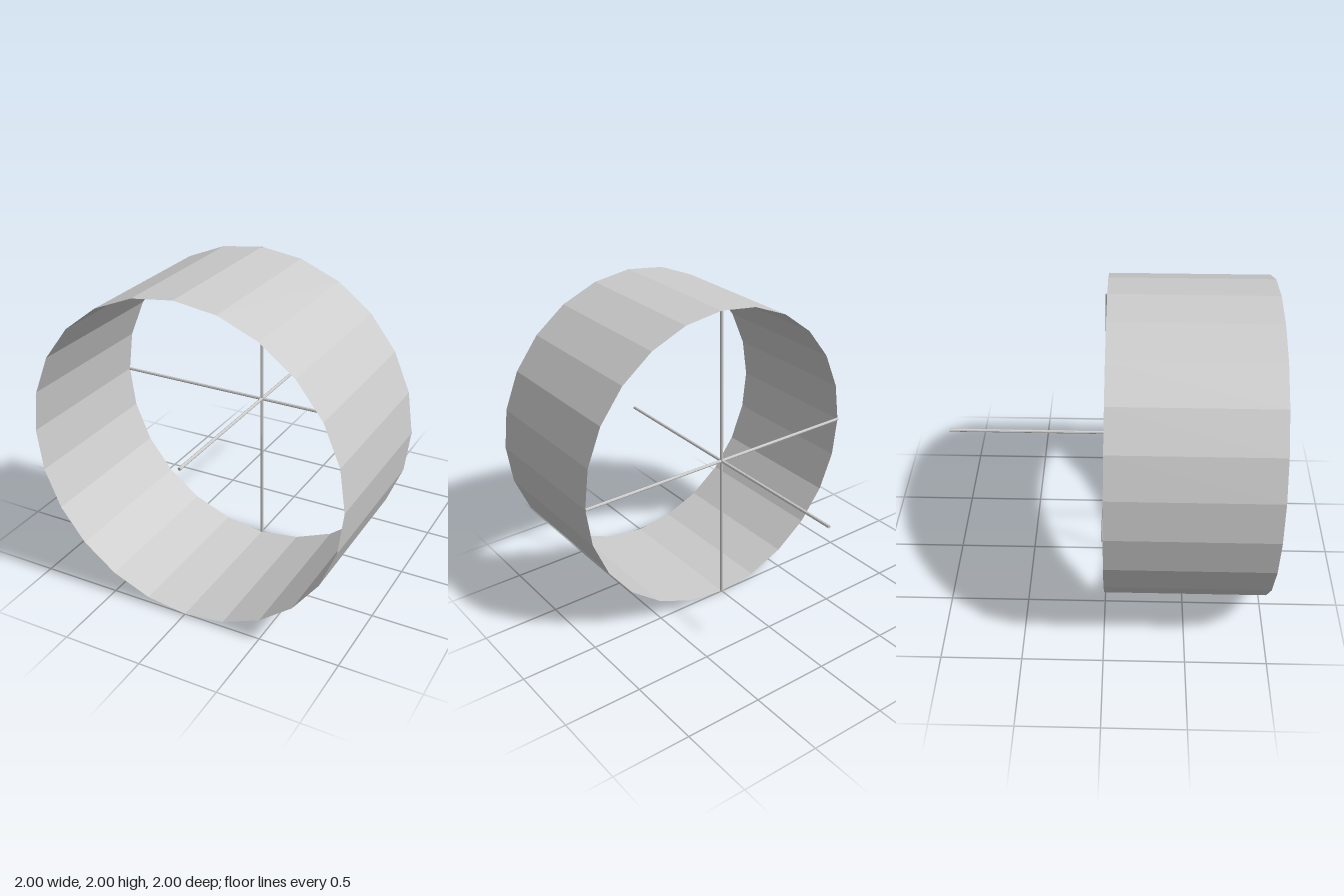
import * as THREE from 'three';

export function createModel() {
  const model = new THREE.Group();
  const material = new THREE.MeshStandardMaterial({
    color: 0xcccccc, flatShading: true, side: THREE.DoubleSide,
  });

  function add(name, geometry) {
    const mesh = new THREE.Mesh(geometry, material);
    mesh.name = name;
    model.add(mesh);
    return mesh;
  }

  // Open 24-sided drum, from the crossing point forward
  const drum = add('drum', new THREE.CylinderGeometry(1, 1, 1, 24, 1, true));
  drum.rotation.x = Math.PI / 2;
  drum.position.set(0, 1, 0.5);

  // Three thin rods crossing at the middle of the drum's back rim
  const rod = new THREE.CylinderGeometry(0.01, 0.01, 2, 8);
  const rods = [
    ['verticalRod', 0, 0],
    ['crossRod', 0, Math.PI / 2],
    ['axleRod', Math.PI / 2, 0],
  ];
  for (const [name, rx, rz] of rods) {
    const mesh = add(name, rod);
    mesh.rotation.set(rx, 0, rz);
    mesh.position.y = 1;
  }

  return model;
}
